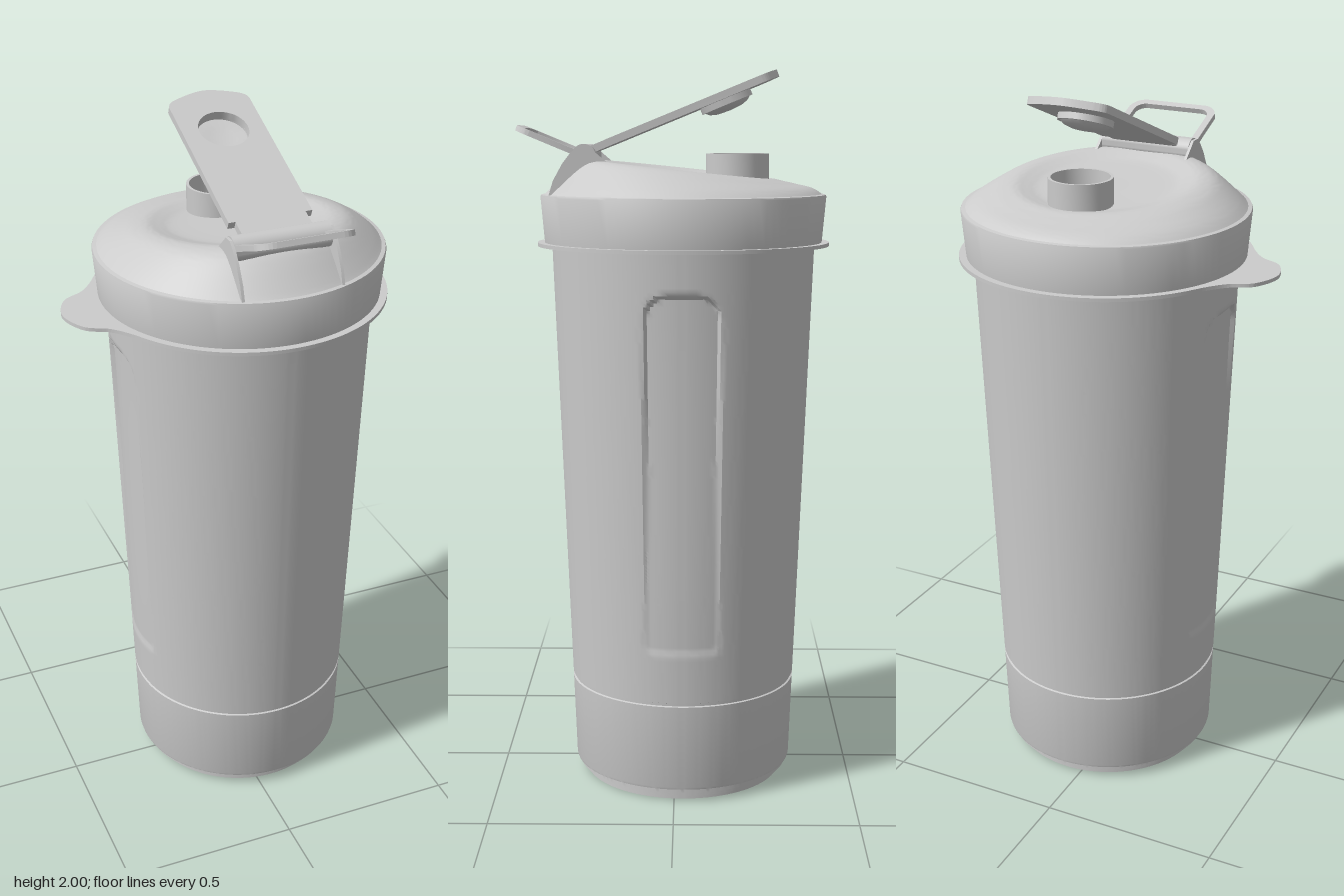
import * as THREE from 'three';
import { toCreasedNormals } from 'three/addons/utils/BufferGeometryUtils.js';

const material = new THREE.MeshStandardMaterial({ color: 0xcccccc, side: THREE.DoubleSide });
const V = (x, y) => new THREE.Vector2(x, y);
const smooth = THREE.MathUtils.smoothstep;

function add(parent, name, geometry, crease = 0.5) {
  const mesh = new THREE.Mesh(toCreasedNormals(geometry, crease), material);
  mesh.name = name;
  parent.add(mesh);
  return mesh;
}

const lathe = (points, segments) => new THREE.LatheGeometry(points.map(p => V(p[0], p[1])), segments);

const extrude = (shape, depth) =>
  new THREE.ExtrudeGeometry(shape, { depth, bevelEnabled: false, curveSegments: 20 });

function moveVertices(geometry, rule) {
  const pos = geometry.attributes.position;
  const p = new THREE.Vector3();
  for (let i = 0; i < pos.count; i++) {
    rule(p.fromBufferAttribute(pos, i));
    pos.setXYZ(i, p.x, p.y, p.z);
  }
  return geometry;
}

function roundedRect(target, x0, y0, x1, y1, r) {
  target.moveTo(x0 + r, y0);
  target.lineTo(x1 - r, y0);
  target.absarc(x1 - r, y0 + r, r, -Math.PI / 2, 0);
  target.lineTo(x1, y1 - r);
  target.absarc(x1 - r, y1 - r, r, 0, Math.PI / 2);
  target.lineTo(x0 + r, y1);
  target.absarc(x0 + r, y1 - r, r, Math.PI / 2, Math.PI);
  target.lineTo(x0, y0 + r);
  target.absarc(x0 + r, y0 + r, r, Math.PI, Math.PI * 1.5);
  return target;
}

// Tapered cup with stepped foot, seam groove and a shallow inset grip on both sides
function buildCup(parent) {
  const radius = y => 0.31 + (y - 0.045) * 0.037;
  const points = [[0, 0], [0.28, 0], [0.28, 0.012], [0.29, 0.012], [0.29, 0.024],
    [0.3, 0.024], [0.3, 0.038], [0.308, 0.038], [0.31, 0.045],
    [radius(0.28), 0.28], [radius(0.28) - 0.005, 0.282], [radius(0.29) - 0.005, 0.29], [radius(0.29), 0.292]];
  const rows = 104;
  for (let i = 0; i <= rows; i++) {
    const y = 0.4 + (1.44 - 0.4) * i / rows;
    points.push([radius(y), y]);
  }
  points.push([radius(1.53), 1.53]);
  const cup = moveVertices(lathe(points, 240), p => {
    // distance to a rounded rectangle seen from the side
    const corner = p.y > 0.9 ? 0.06 : 0.025;
    const dx = Math.abs(p.z) - 0.1 + corner;
    const dy = Math.abs(p.y - 0.92) - 0.49 + corner;
    const d = Math.hypot(Math.max(dx, 0), Math.max(dy, 0)) + Math.min(Math.max(dx, dy), 0) - corner;
    const depth = 0.004 + 0.01 * smooth(p.y, 0.43, 1.41);
    p.x -= Math.sign(p.x) * depth * (1 - smooth(d, -0.008, 0.004));
  });
  add(parent, 'cup', cup, 0.45);
}

// Thin rim with a thumb tab on one side
function buildRim(parent) {
  const a = Math.PI - 0.536;
  const shape = new THREE.Shape();
  shape.absarc(0, 0, 0.405, -a, a, false);
  shape.splineThru([V(-0.375, 0.165), V(-0.412, 0.123), V(-0.472, 0.085), V(-0.502, 0),
    V(-0.472, -0.085), V(-0.412, -0.123), V(-0.375, -0.165), V(-0.348, -0.207)]);
  const rim = add(parent, 'rimWithTab', new THREE.ExtrudeGeometry(shape,
    { depth: 0.01, bevelEnabled: false, curveSegments: 64 }).rotateX(-Math.PI / 2));
  rim.position.y = 1.52;

  const rib = new THREE.Shape([V(-0.435, 1.522), V(-0.35, 1.485), V(-0.35, 1.522)]);
  add(parent, 'tabRib', extrude(rib, 0.1)).position.z = -0.05;
}

// Lid: straight skirt and a dished dome that rises towards the hinge
function buildLid(parent) {
  add(parent, 'lidSkirt', lathe([[0.35, 1.529], [0.385, 1.529], [0.396, 1.655], [0.394, 1.66], [0.382, 1.662]], 96));
  const outline = new THREE.SplineCurve([V(0.384, 1.661), V(0.36, 1.681), V(0.325, 1.704), V(0.29, 1.722),
    V(0.25, 1.729), V(0.215, 1.722), V(0.18, 1.715), V(0.1, 1.713), V(0, 1.713)]);
  const profile = outline.getPoints(40).map(p => [Math.max(p.x, 0), p.y]);
  const dome = moveVertices(lathe(profile, 96), p => {
    const weight = 1 - smooth(Math.hypot(p.x, p.z), 0.27, 0.384);
    p.y += 0.105 * p.z * weight;
  });
  add(parent, 'lidDome', dome, 1);

  // Drinking spout, open at the top
  const spout = lathe([[0.087, 1.68], [0.087, 1.772], [0.079, 1.772], [0.079, 1.705], [0, 1.705]], 48);
  add(parent, 'spout', spout).position.z = -0.15;
}

// Hinge brackets and barrel, flip cap and carry loop
function buildHinge(parent) {
  const side = new THREE.Shape([V(0.364, 1.655), V(0.35, 1.7), V(0.325, 1.745), V(0.302, 1.775), V(0.28, 1.793),
    V(0.255, 1.793), V(0.235, 1.775), V(0.2, 1.745), V(0.2, 1.7), V(0.3, 1.68)]);
  for (const s of [-1, 1]) {
    const bracket = add(parent, s > 0 ? 'leftBracket' : 'rightBracket', extrude(side, 0.008).rotateY(-Math.PI / 2));
    bracket.position.x = s * 0.138 + 0.004;
  }

  const pivot = [0, 1.765, 0.267];
  const barrel = add(parent, 'hingeBarrel', new THREE.CylinderGeometry(0.033, 0.033, 0.268, 32).rotateZ(Math.PI / 2));
  barrel.position.set(...pivot);

  const cap = new THREE.Group();
  cap.name = 'flipCap';
  cap.position.set(...pivot);
  cap.rotation.x = 0.385;
  parent.add(cap);
  const plate = new THREE.Shape();
  plate.moveTo(-0.097, 0.015);
  plate.lineTo(0.097, 0.015);
  plate.lineTo(0.097, 0.07);
  plate.lineTo(0.116, 0.07);
  plate.lineTo(0.116, 0.52);
  plate.quadraticCurveTo(0.114, 0.538, 0.09, 0.548);
  plate.quadraticCurveTo(0.03, 0.572, 0, 0.572);
  plate.quadraticCurveTo(-0.03, 0.572, -0.09, 0.548);
  plate.quadraticCurveTo(-0.114, 0.538, -0.116, 0.52);
  plate.lineTo(-0.116, 0.07);
  plate.lineTo(-0.097, 0.07);
  plate.closePath();
  plate.holes.push(new THREE.Path().absarc(0, 0.412, 0.069, 0, Math.PI * 2, true));
  add(cap, 'capPlate', extrude(plate, 0.02).rotateX(-Math.PI / 2));
  const plug = lathe([[0, -0.034], [0.035, -0.032], [0.055, -0.026], [0.066, -0.017], [0.074, -0.017],
    [0.074, 0], [0.069, 0], [0.069, -0.006], [0.04, -0.01], [0, -0.012]], 48);
  add(cap, 'capPlug', plug).position.z = -0.412;

  const loop = new THREE.Group();
  loop.name = 'carryLoop';
  loop.position.set(...pivot);
  loop.rotation.x = -0.39;
  parent.add(loop);
  const frame = roundedRect(new THREE.Shape(), -0.134, -0.01, 0.134, 0.2, 0.045);
  frame.holes.push(roundedRect(new THREE.Path(), -0.114, 0.01, 0.114, 0.18, 0.03));
  add(loop, 'loopFrame', extrude(frame, 0.015).rotateX(Math.PI / 2)).position.y = 0.008;
}

export function createModel() {
  const model = new THREE.Group();
  model.name = 'shakerBottle';
  const body = new THREE.Group();
  body.name = 'bottle';
  body.position.set(0.048, 0, -0.022);
  model.add(body);
  buildCup(body);
  buildRim(body);
  buildLid(body);
  buildHinge(body);
  return model;
}
